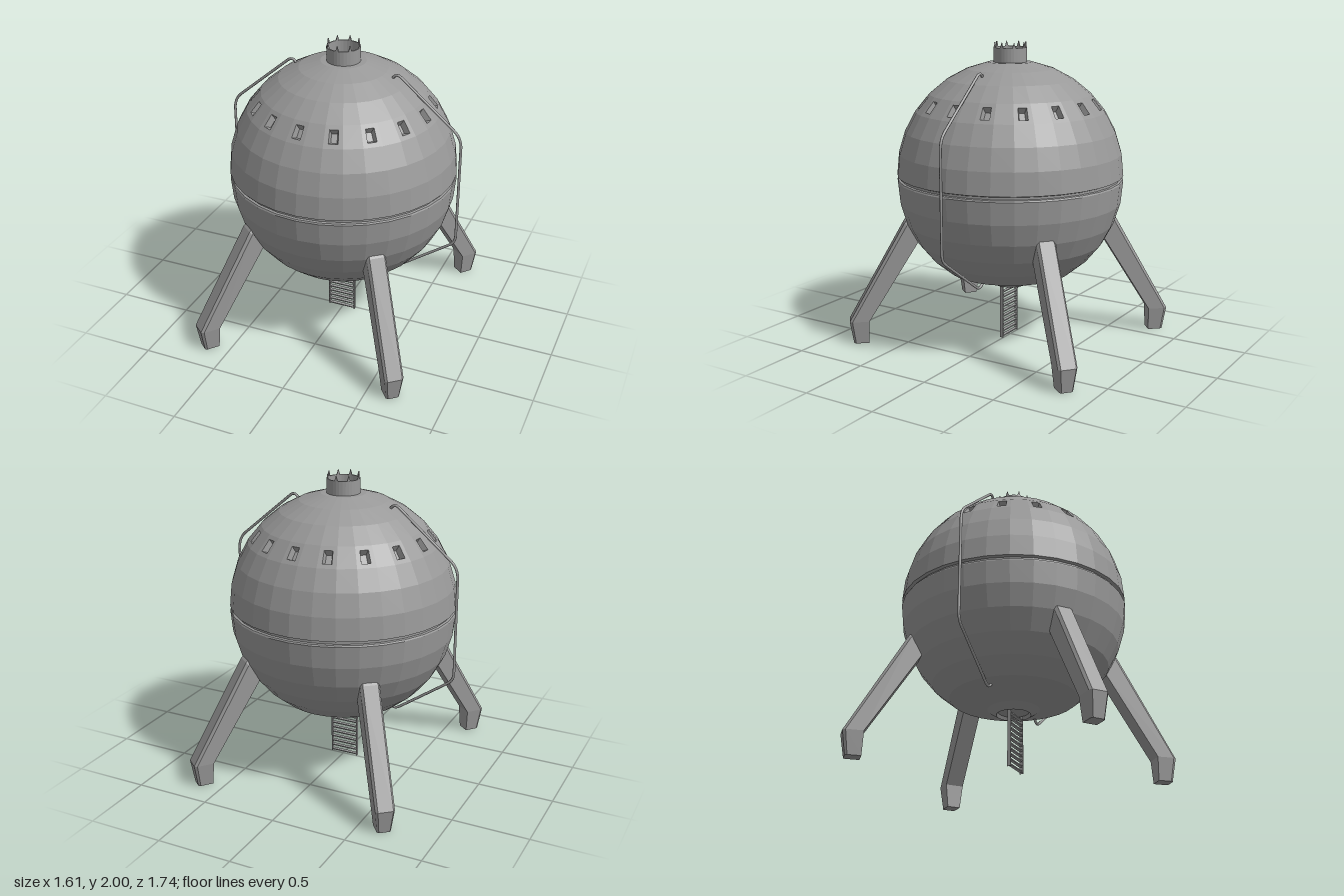
import * as THREE from 'three';

const SEGS = 32, R = 0.75, STEP = Math.PI / 16;
const UPPER = 1.135, LOWER = 1.1; // centres of the two hemispheres

const COLOR = 0x999999;
const flat = new THREE.MeshStandardMaterial({ color: COLOR, flatShading: true, side: THREE.DoubleSide });
const smooth = new THREE.MeshStandardMaterial({ color: COLOR });

function add(parent, name, geometry, material) {
  const mesh = new THREE.Mesh(geometry, material);
  mesh.name = name;
  parent.add(mesh);
  return mesh;
}

const lathe = pts => new THREE.LatheGeometry(pts.map(([r, y]) => new THREE.Vector2(r, y)), SEGS);

// Ring k of a hemisphere, counted from the pole
const ring = (k, centre, sign) => [R * Math.sin(k * STEP), centre + sign * R * Math.cos(k * STEP)];

function fromTriangles(pos) {
  const g = new THREE.BufferGeometry();
  g.setAttribute('position', new THREE.Float32BufferAttribute(pos, 3));
  g.computeVertexNormals();
  return g;
}

const pushQuad = (pos, a, b, c, d) => [a, b, c, a, c, d].forEach(p => pos.push(p.x, p.y, p.z));

// Faceted band in which every second panel has a recessed window
function windowBand() {
  const pos = [];
  const [r0, y0] = ring(5, UPPER, 1), [r1, y1] = ring(4, UPPER, 1);
  const at = (r, y, i) => new THREE.Vector3(r * Math.sin(i * STEP), y, r * Math.cos(i * STEP));
  for (let i = 0; i < SEGS; i++) {
    const outer = [at(r0, y0, i), at(r0, y0, i + 1), at(r1, y1, i + 1), at(r1, y1, i)];
    if (i % 2 === 0) { pushQuad(pos, ...outer); continue; }
    const [a, b, c, d] = outer;
    const point = (u, v) => a.clone().lerp(b, u).lerp(d.clone().lerp(c, u), v);
    const hole = [point(0.25, 0.2), point(0.75, 0.2), point(0.75, 0.8), point(0.25, 0.8)];
    const normal = b.clone().sub(a).cross(d.clone().sub(a)).normalize();
    const mid = point(0.5, 0.5);
    const floor = hole.map(p => p.clone().lerp(mid, 0.35).addScaledVector(normal, -0.04));
    for (let k = 0; k < 4; k++) {
      const n = (k + 1) % 4;
      pushQuad(pos, outer[k], outer[n], hole[n], hole[k]);
      pushQuad(pos, hole[k], hole[n], floor[n], floor[k]);
    }
    pushQuad(pos, ...floor);
  }
  return fromTriangles(pos);
}

// Leg lofted through cross-sections: inner r, y, outer r, y, half width
function legGeometry() {
  const sections = [
    [0.965, 0, 1.065, 0, 0.045],
    [0.96, 0.155, 1.09, 0.155, 0.0625],
    [0.61, 0.715, 0.71, 0.825, 0.0625],
    [0.58, 0.845, 0.69, 0.845, 0.054],
  ];
  // Outline with the two outer edges chamfered
  const outline = [[0, 1], [0.86, 1], [1, 0.78], [1, -0.78], [0.86, -1], [0, -1]];
  const loops = sections.map(([ri, yi, ro, yo, w]) => outline.map(([t, s]) =>
    new THREE.Vector3(ri + (ro - ri) * t, yi + (yo - yi) * t, s * w)));
  const pos = [];
  for (let j = 0; j < loops.length - 1; j++)
    for (let k = 0; k < 6; k++) {
      const n = (k + 1) % 6;
      pushQuad(pos, loops[j][n], loops[j][k], loops[j + 1][k], loops[j + 1][n]);
    }
  const [bottom, top] = [loops[0], loops[loops.length - 1]];
  for (const [a, b, c, d] of [[0, 1, 4, 5], [1, 2, 3, 4]]) {
    pushQuad(pos, bottom[a], bottom[b], bottom[c], bottom[d]);
    pushQuad(pos, top[d], top[c], top[b], top[a]);
  }
  return fromTriangles(pos);
}

// Polyline with rounded corners
function roundedPath(points, radii) {
  const path = new THREE.CurvePath();
  const v = points.map(([x, y]) => new THREE.Vector3(x, y, 0));
  let last = v[0];
  for (let i = 1; i < v.length - 1; i++) {
    const toward = q => v[i].clone().add(q.clone().sub(v[i]).setLength(radii[i - 1]));
    const p = toward(v[i - 1]), q = toward(v[i + 1]);
    path.add(new THREE.LineCurve3(last, p));
    path.add(new THREE.QuadraticBezierCurve3(p, v[i], q));
    last = q;
  }
  path.add(new THREE.LineCurve3(last, v[v.length - 1]));
  return path;
}

export function createModel() {
  const model = new THREE.Group();
  model.name = 'sphericalLander';

  // Hull: lower half with protruding hatch, waist groove, upper half
  const hull = new THREE.Group();
  hull.name = 'hull';
  model.add(hull);
  const lower = [[0, 0.39], [0.1, 0.39], [0.112, 0.368], [0.17, 0.404], [0.285, 0.438]];
  for (let k = 3; k <= 8; k++) lower.push(ring(k, LOWER, -1));
  add(hull, 'lowerHull', lathe(lower), flat);
  add(hull, 'waistGroove',
    lathe([[R, LOWER], [0.745, 1.11], [0.73, 1.113], [0.73, 1.128], [R, UPPER]]), flat);
  add(hull, 'upperHull', lathe([8, 7, 6, 5].map(k => ring(k, UPPER, 1))), flat);
  add(hull, 'windowBand', windowBand(), flat);
  add(hull, 'hullCap', lathe([...[4, 3, 2, 1].map(k => ring(k, UPPER, 1)), [0, 1.871]]), flat);

  // Open collar with a crown of small spikes
  const collar = new THREE.Group();
  collar.name = 'collar';
  model.add(collar);
  add(collar, 'collarWall',
    lathe([[0.109, 1.86], [0.109, 1.965], [0.1, 1.965], [0.1, 1.87]]), flat);
  const spikeShape = new THREE.Shape();
  spikeShape.moveTo(-0.012, 0);
  spikeShape.lineTo(0.012, 0);
  spikeShape.quadraticCurveTo(0.006, 0.015, 0, 0.037);
  spikeShape.quadraticCurveTo(-0.006, 0.015, -0.012, 0);
  const spikeGeo = new THREE.ExtrudeGeometry(spikeShape,
    { depth: 0.008, bevelEnabled: false, curveSegments: 4 });
  spikeGeo.translate(0, 1.963, 0.1);
  for (let i = 0; i < 8; i++) add(collar, 'spike', spikeGeo, flat).rotation.y = i * Math.PI / 4;

  // Four splayed legs
  const legGeo = legGeometry();
  const splay = THREE.MathUtils.degToRad(50.2);
  for (const angle of [splay, -splay, Math.PI - splay, Math.PI + splay])
    add(model, 'leg', legGeo, flat).rotation.y = angle;

  // Bent handrail pipes on both sides
  const rail = roundedPath(
    [[0.315, 1.775], [0.355, 1.84], [0.795, 1.47], [0.795, 0.71], [0.38, 0.42], [0.325, 0.475]],
    [0.045, 0.07, 0.05, 0.045]);
  const railGeo = new THREE.TubeGeometry(rail, 120, 0.009, 8, false);
  for (const turn of [0, Math.PI]) add(model, 'sideRail', railGeo, smooth).rotation.y = turn;

  // Ladder under the hatch
  const ladder = new THREE.Group();
  ladder.name = 'ladder';
  ladder.position.z = 0.014;
  model.add(ladder);
  const postGeo = new THREE.BoxGeometry(0.006, 0.385, 0.024);
  for (const x of [-0.098, 0.09]) add(ladder, 'ladderPost', postGeo, flat).position.set(x, 0.1925, 0);
  const rungGeo = new THREE.BoxGeometry(0.188, 0.007, 0.024);
  for (let i = 0; i < 11; i++)
    add(ladder, 'rung', rungGeo, flat).position.set(-0.004, 0.012 + i * 0.0345, 0);

  return model;
}
